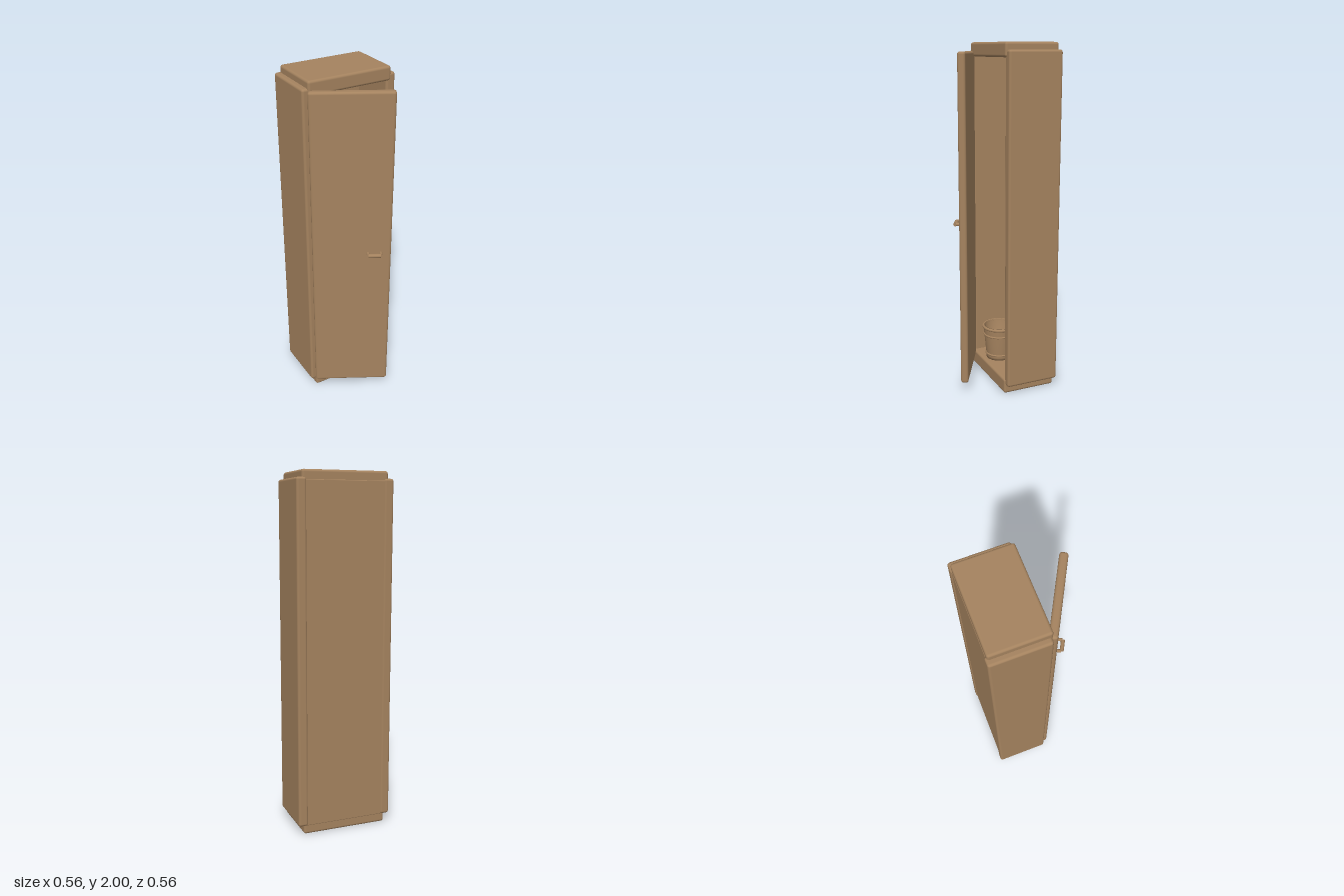
import * as THREE from 'three';
import { RoundedBoxGeometry } from 'three/addons/geometries/RoundedBoxGeometry.js';

export function createModel() {
  const wood = new THREE.MeshStandardMaterial({ color: 0xa5835f });
  wood.name = 'brownWood';
  const model = new THREE.Group();
  model.name = 'broomCupboard';

  const add = (parent, name, geometry, x, y, z) => {
    const mesh = new THREE.Mesh(geometry, wood);
    mesh.name = name;
    mesh.position.set(x, y, z);
    parent.add(mesh);
    return mesh;
  };
  // Board with softly chamfered edges
  const board = (parent, name, w, h, d, x, y, z, bevel = 0.014) =>
    add(parent, name, new RoundedBoxGeometry(w, h, d, 2, bevel), x, y, z);
  // Turned part; each section of the profile keeps its own crisp edges
  const turned = (parent, name, profile, x, y, z, sides = 24) => {
    const points = profile.map(([r, h]) => new THREE.Vector2(r, h));
    return add(parent, name, new THREE.LatheGeometry(points, sides), x, y, z);
  };

  // Cabinet carcass
  board(model, 'topBoard', 0.493, 0.08, 0.318, -0.001, 1.96, -0.111);
  board(model, 'bottomBoard', 0.493, 0.088, 0.318, -0.001, 0.044, -0.111);
  for (const [name, side] of [['leftSide', 1], ['rightSide', -1]]) {
    board(model, name, 0.056, 1.91, 0.318, side * 0.25, 1.005, -0.119);
  }
  board(model, 'backPanel', 0.46, 1.9, 0.04, 0, 1.0, -0.252, 0.005);

  // Door standing ajar, hinged at the model's right
  const door = new THREE.Group();
  door.name = 'door';
  door.position.set(-0.055, 0, 0.15);
  door.rotation.y = -0.5;
  model.add(door);
  board(door, 'doorPanel', 0.445, 1.89, 0.044, 0, 1.005, 0);

  // Door handle: two posts and a short grip
  for (const x of [0.092, 0.164]) {
    const post = add(door, 'handlePost', new THREE.CylinderGeometry(0.01, 0.01, 0.026, 10), x, 1.005, 0.033);
    post.rotation.x = Math.PI / 2;
  }
  const grip = add(door, 'handleGrip', new THREE.CylinderGeometry(0.012, 0.012, 0.07, 10), 0.128, 1.005, 0.05);
  grip.rotation.z = Math.PI / 2;

  // Bucket with an open top, hoops and a thick rim
  const bucket = new THREE.Group();
  bucket.name = 'bucket';
  bucket.position.set(-0.073, 0.088, -0.06);
  model.add(bucket);
  turned(bucket, 'bucketBody', [
    [0, 0], [0.078, 0], [0.078, 0.015], [0.098, 0.21], [0.088, 0.21], [0.07, 0.02], [0, 0.02],
  ], 0, 0, 0);
  for (const [r, y, tube] of [[0.08, 0.03, 0.006], [0.093, 0.155, 0.006], [0.096, 0.203, 0.009]]) {
    const hoop = add(bucket, 'bucketHoop', new THREE.TorusGeometry(r, tube, 8, 24), 0, y, 0);
    hoop.rotation.x = Math.PI / 2;
  }

  // Broom standing in the back corner
  const broom = new THREE.Group();
  broom.name = 'broom';
  broom.position.set(0.115, 0.088, -0.162);
  model.add(broom);
  turned(broom, 'broomBristles', [
    [0, 0], [0.07, 0], [0.069, 0.06], [0.065, 0.11], [0.047, 0.18], [0.026, 0.25], [0.02, 0.28], [0, 0.28],
  ], 0, 0, 0, 20);
  add(broom, 'broomStick', new THREE.CylinderGeometry(0.012, 0.012, 1.1, 12), 0, 0.8, 0);

  return model;
}
